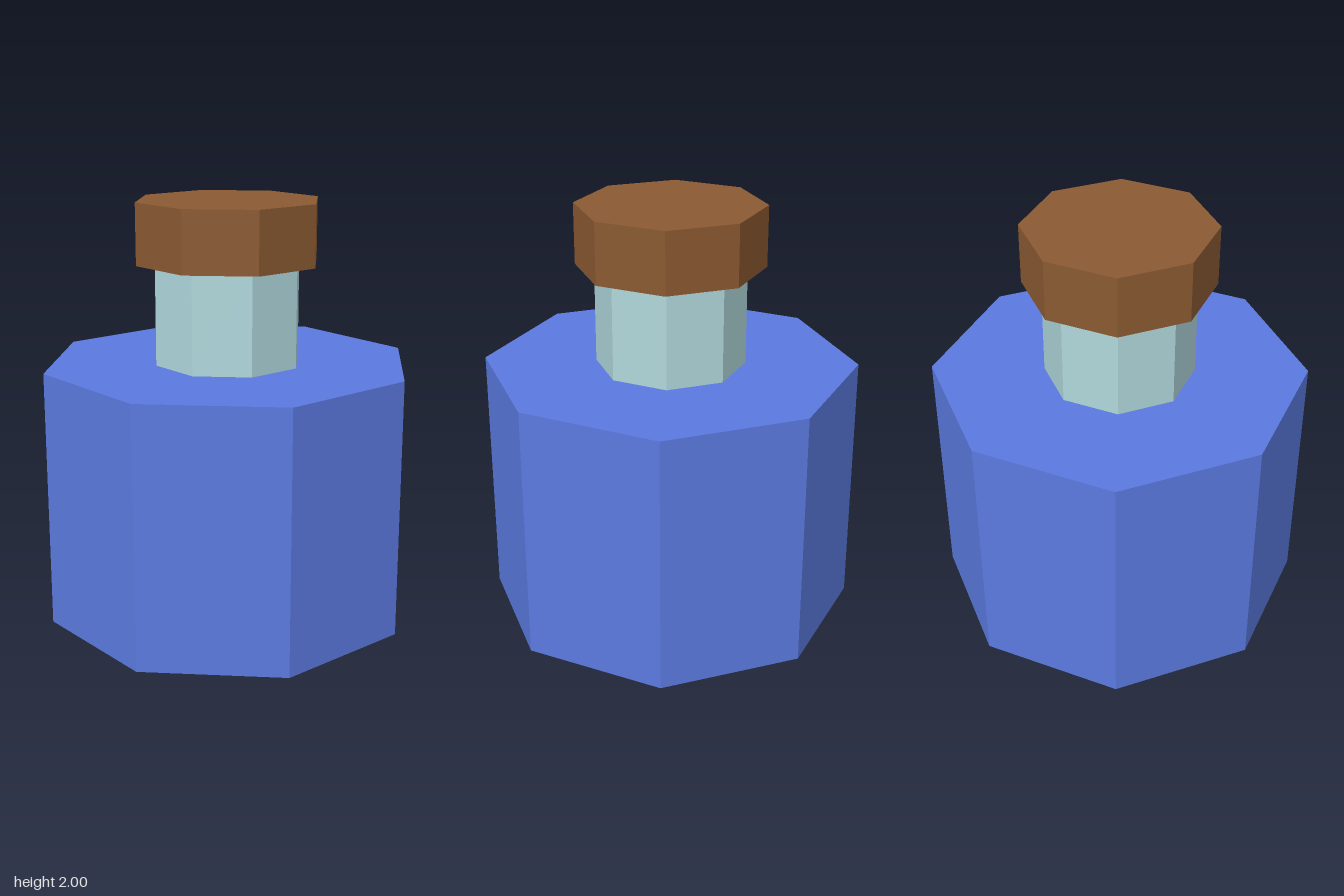
import * as THREE from 'three';

const SIDES = 8;

function material(name, color) {
  const m = new THREE.MeshStandardMaterial({ color, flatShading: true });
  m.name = name;
  return m;
}

// Upright eight-sided prism with a corner facing the front
function prism(name, radius, bottom, top, mat) {
  const geometry = new THREE.CylinderGeometry(radius, radius, top - bottom, SIDES);
  const mesh = new THREE.Mesh(geometry, mat);
  mesh.position.y = (bottom + top) / 2;
  mesh.name = name;
  return mesh;
}

export function createModel() {
  const blue = material('blue liquid', 0x5b7ae0);
  const glass = material('pale glass', 0xb0d8dc);
  const cork = material('brown cork', 0x8b5a32);

  const bottle = new THREE.Group();
  bottle.name = 'bottle';
  bottle.add(
    prism('body', 0.889, 0, 1.235, blue),
    prism('neck', 0.355, 1.235, 1.71, glass),
    prism('stopper', 0.444, 1.71, 2, cork),
  );
  return bottle;
}
